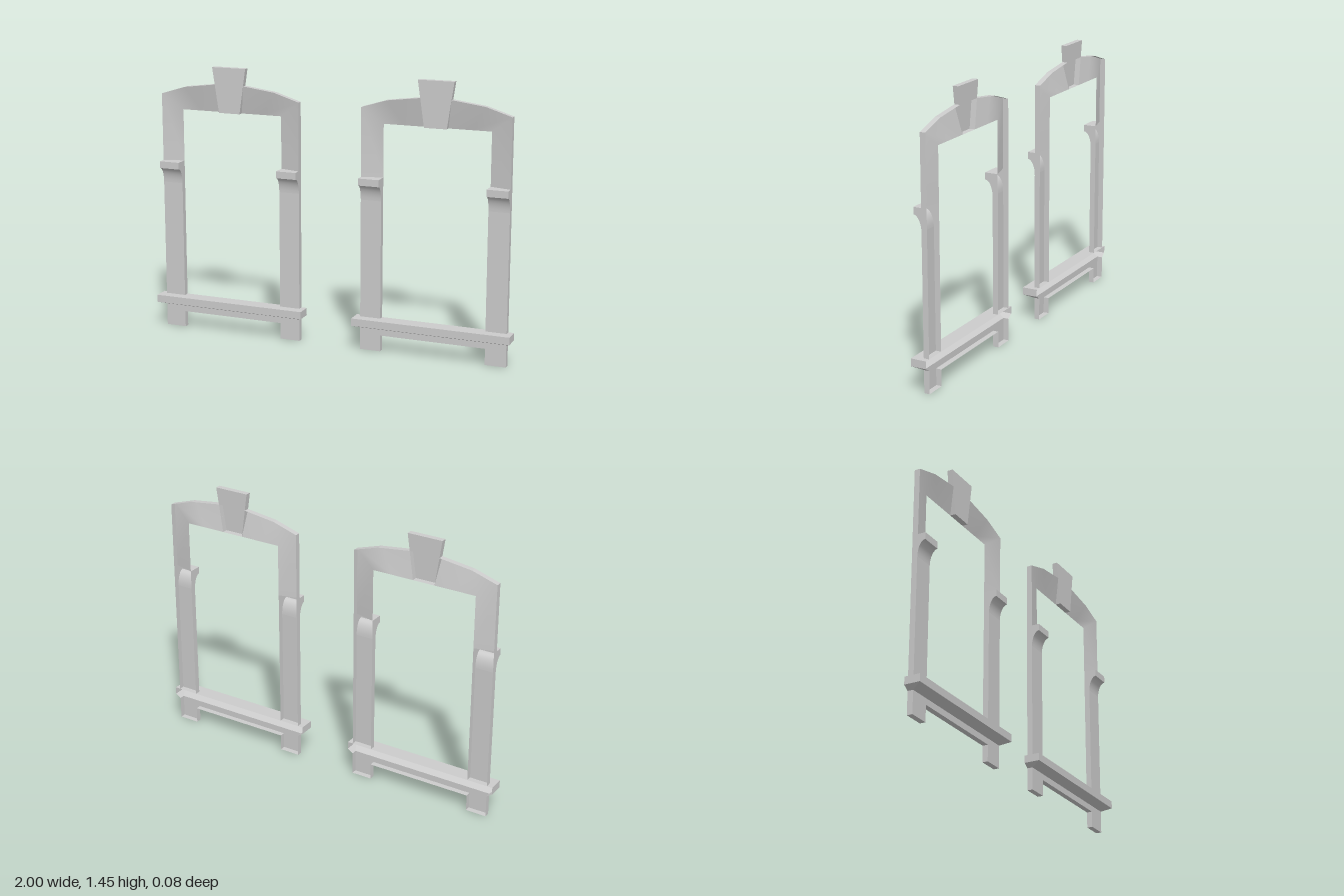
import * as THREE from 'three';

const material = new THREE.MeshStandardMaterial({ color: 0xcccccc, side: THREE.DoubleSide });
const FRONT = -0.012, BACK = -0.042;      // depth of the surround
const INNER = 0.286, OUTER = 0.398;       // half widths of opening and frame

// Surface between two paths of [x, y, z] points; flat facets unless smooth
function strip(a, b, smooth = false) {
  const n = a.length, index = [];
  for (let i = 0; i < n - 1; i++) index.push(i, i + 1, n + i + 1, i, n + i + 1, n + i);
  let g = new THREE.BufferGeometry();
  g.setAttribute('position', new THREE.Float32BufferAttribute([...a, ...b].flat(), 3));
  g.setIndex(index);
  if (!smooth) g = g.toNonIndexed();
  g.computeVertexNormals();
  return g;
}

const atZ = (pts, z) => pts.map(([x, y]) => [x, y, z]);
const flat = (pts) => new THREE.ShapeGeometry(new THREE.Shape(pts.map(([x, y]) => new THREE.Vector2(x, y))));
const face = (pts, z) => flat(pts).translate(0, 0, z);
const wall = (pts) => strip(atZ(pts, BACK), atZ(pts, FRONT));

function part(name, geometries) {
  const group = new THREE.Group();
  group.name = name;
  geometries.forEach((g) => {
    const mesh = new THREE.Mesh(g, material);
    mesh.name = name;
    group.add(mesh);
  });
  return group;
}

// Pilaster shaft flowing through a cove into its corbel
function pilaster(s) {
  const [left, right] = s > 0 ? [INNER, OUTER] : [-OUTER, -INNER];
  const cove = [];
  for (let i = 0; i <= 8; i++) {
    const t = (i / 8) * Math.PI / 2;
    cove.push([0.03 - 0.042 * Math.cos(t), 0.81 + 0.083 * Math.sin(t)]);
  }
  const across = (path, smooth) =>
    strip(path.map(([z, y]) => [right, y, z]), path.map(([z, y]) => [left, y, z]), smooth);
  const profile = [[BACK, 0.18], [FRONT, 0.18], ...cove, [0.03, 0.93], [FRONT, 0.93], [BACK, 0.93]];
  const side = (x) => flat(profile).rotateY(-Math.PI / 2).translate(x, 0, 0);
  const backZ = (x) => (Math.abs(x) === OUTER ? FRONT : BACK);
  return part('pilaster', [
    across([[FRONT, 0.18], [FRONT, 0.81]]),
    across(cove, true),
    across([[0.03, 0.893], [0.03, 0.93]]),
    side(left), side(right),
    strip([[left, 0.93, 0.03], [right, 0.93, 0.03]],
      [[left, 0.93, backZ(left)], [right, 0.93, backZ(right)]]),
  ]);
}

// Half of the arched head: splayed face from outer front edge to inner back edge
function archHalf(s) {
  const outer = [[OUTER, 0.93], [OUTER, 1.294], [0.26, 1.337], [0.082, 1.36]].map(([x, y]) => [s * x, y]);
  const inner = [[INNER, 0.93], [INNER, 1.21], [0.18, 1.21], [0.06, 1.21]].map(([x, y]) => [s * x, y]);
  const o = atZ(outer, FRONT), i = atZ(inner, BACK), rim = atZ(outer, BACK);
  return part('archHalf', s > 0
    ? [strip(o, i, true), strip(rim, o)]
    : [strip(i, o, true), strip(o, rim)]);
}

function keystone() {
  const pts = [[-0.06, 1.21], [0.06, 1.21], [0.096, 1.452], [-0.096, 1.452]];
  const upper = [[-0.082, 1.36], [0.082, 1.36], [0.096, 1.452], [-0.096, 1.452]];
  return part('keystone', [face(pts, FRONT), wall([...pts, pts[0]]),
    face(upper, 0).rotateY(Math.PI).translate(0, 0, BACK)]);
}

// Projecting sill, open at the back, with a sloped underside
function sill() {
  const ring = (h, z, y) => [[-h, y, BACK], [-h, y, z], [h, y, z], [h, y, BACK]];
  const low = ring(OUTER, FRONT, 0.12), mid = ring(0.428, 0.042, 0.14), top = ring(0.428, 0.042, 0.18);
  return part('sill', [strip(low, mid), strip(mid, top),
    strip([top[1], top[2]], [top[0], top[3]])]);
}

// Apron rail with the two feet below the sill
function apron() {
  const pts = [[-OUTER, 0.12], [-OUTER, 0], [-INNER, 0], [-INNER, 0.087],
    [INNER, 0.087], [INNER, 0], [OUTER, 0], [OUTER, 0.12]];
  return part('apron', [face(pts, FRONT), wall(pts)]);
}

export function createModel() {
  const model = new THREE.Group();
  model.name = 'windowSurrounds';
  for (const x of [-0.572, 0.572]) {
    const surround = new THREE.Group();
    surround.name = x < 0 ? 'rightSurround' : 'leftSurround';
    surround.add(apron(), sill(), keystone());
    for (const s of [-1, 1]) surround.add(pilaster(s), archHalf(s));
    surround.position.x = x;
    model.add(surround);
  }
  return model;
}
